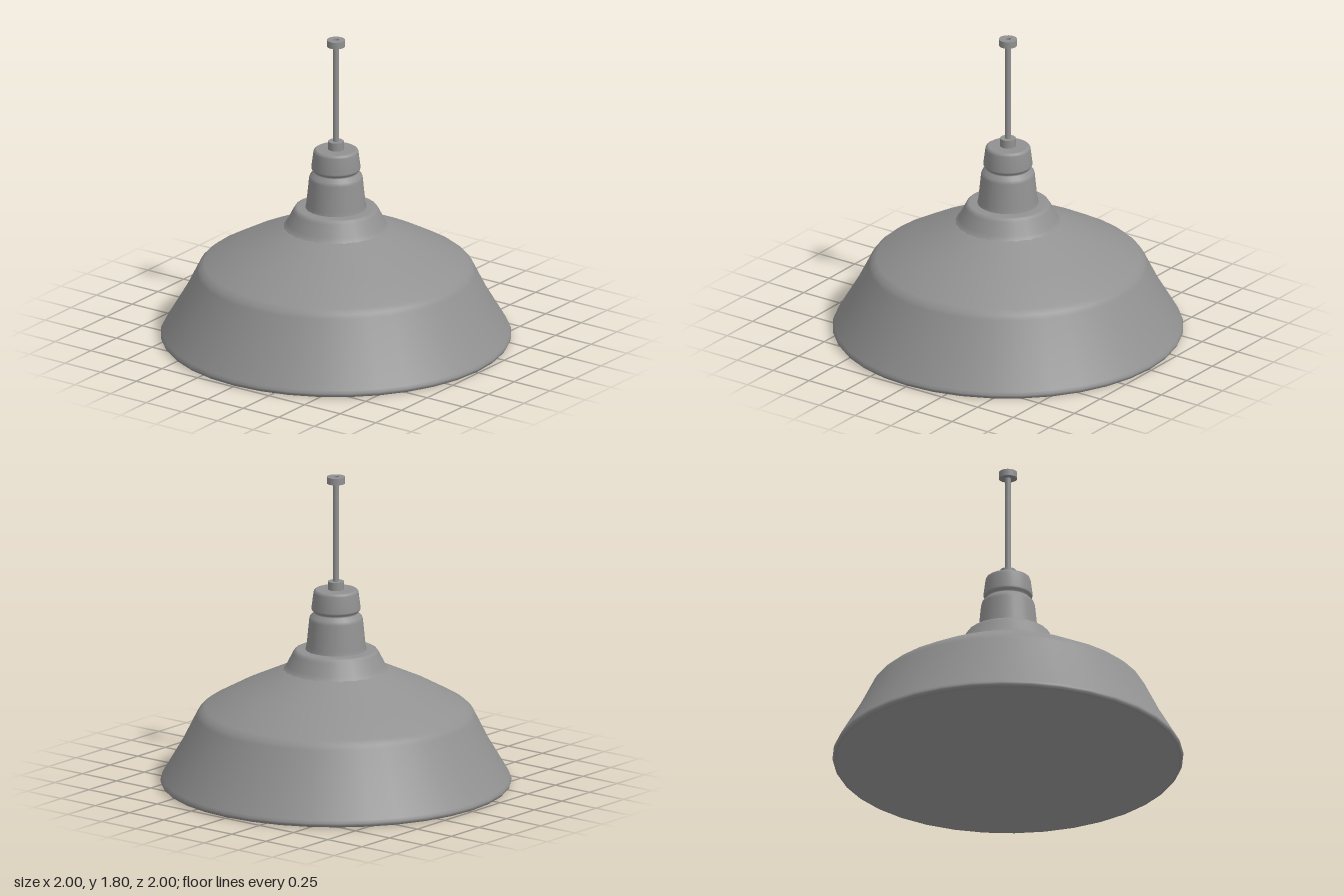
import * as THREE from 'three';

export function createModel() {
  const model = new THREE.Group();
  const metal = new THREE.MeshStandardMaterial({ color: 0x919191 });
  metal.name = 'grey metal';

  // Revolves [radius, height] points; each run is smooth, with a sharp edge between runs.
  // Rising points face outwards, falling points face the axis.
  function turned(name, sides, ...runs) {
    const part = new THREE.Group();
    part.name = name;
    for (const run of runs) {
      const points = run.map(([r, y]) => new THREE.Vector2(r, y));
      const mesh = new THREE.Mesh(new THREE.LatheGeometry(points, sides), metal);
      mesh.name = name + 'Surface';
      part.add(mesh);
    }
    model.add(part);
  }

  // Wide reflector: rolled rim, flared skirt and sloping shoulder
  turned('shade', 36,
    [[0.98, 0], [0.99, 0.003], [0.998, 0.014], [1, 0.025], [0.992, 0.04]],
    [[0.992, 0.04], [0.88, 0.23], [0.795, 0.4], [0.78, 0.425], [0.75, 0.45], [0.56, 0.555], [0.29, 0.68]]);

  // Straight conical underside, softly rounded into the rim
  turned('shadeInside', 36,
    [[0.24, 0.655], [0.975, 0.003], [0.99, 0.001]]);

  // Stepped crown between shade and neck, open below
  turned('crown', 24,
    [[0.31, 0.666], [0.295, 0.68], [0.28, 0.7], [0.245, 0.77], [0.235, 0.785], [0.222, 0.791], [0.16, 0.792]],
    [[0.215, 0.775], [0.24, 0.655]],
    [[0.15, 0.775], [0.215, 0.775]]);

  // Tapered socket housing, grooved below its cap, with a hollow inside
  turned('neck', 24,
    [[0.176, 0.785], [0.169, 0.815], [0.154, 0.965], [0.148, 0.985], [0.127, 1.003],
      [0.124, 1.011], [0.136, 1.02], [0.141, 1.032], [0.129, 1.125], [0.125, 1.136], [0.116, 1.142]],
    [[0.116, 1.142], [0.017, 1.142]],
    [[0.11, 1.13], [0.115, 1.01], [0.135, 0.97], [0.15, 0.775]],
    [[0.016, 1.13], [0.11, 1.13]]);

  // Collar, hollow rod and ceiling fitting
  turned('collar', 24,
    [[0.045, 1.14], [0.045, 1.19]],
    [[0.045, 1.19], [0.017, 1.19]]);
  turned('rod', 16,
    [[0.018, 1.14], [0.018, 1.77]],
    [[0.016, 1.805], [0.016, 1.13]]);
  turned('ceilingFitting', 24,
    [[0.016, 1.766], [0.052, 1.766]],
    [[0.052, 1.766], [0.052, 1.805]],
    [[0.052, 1.805], [0.016, 1.805]]);

  return model;
}
